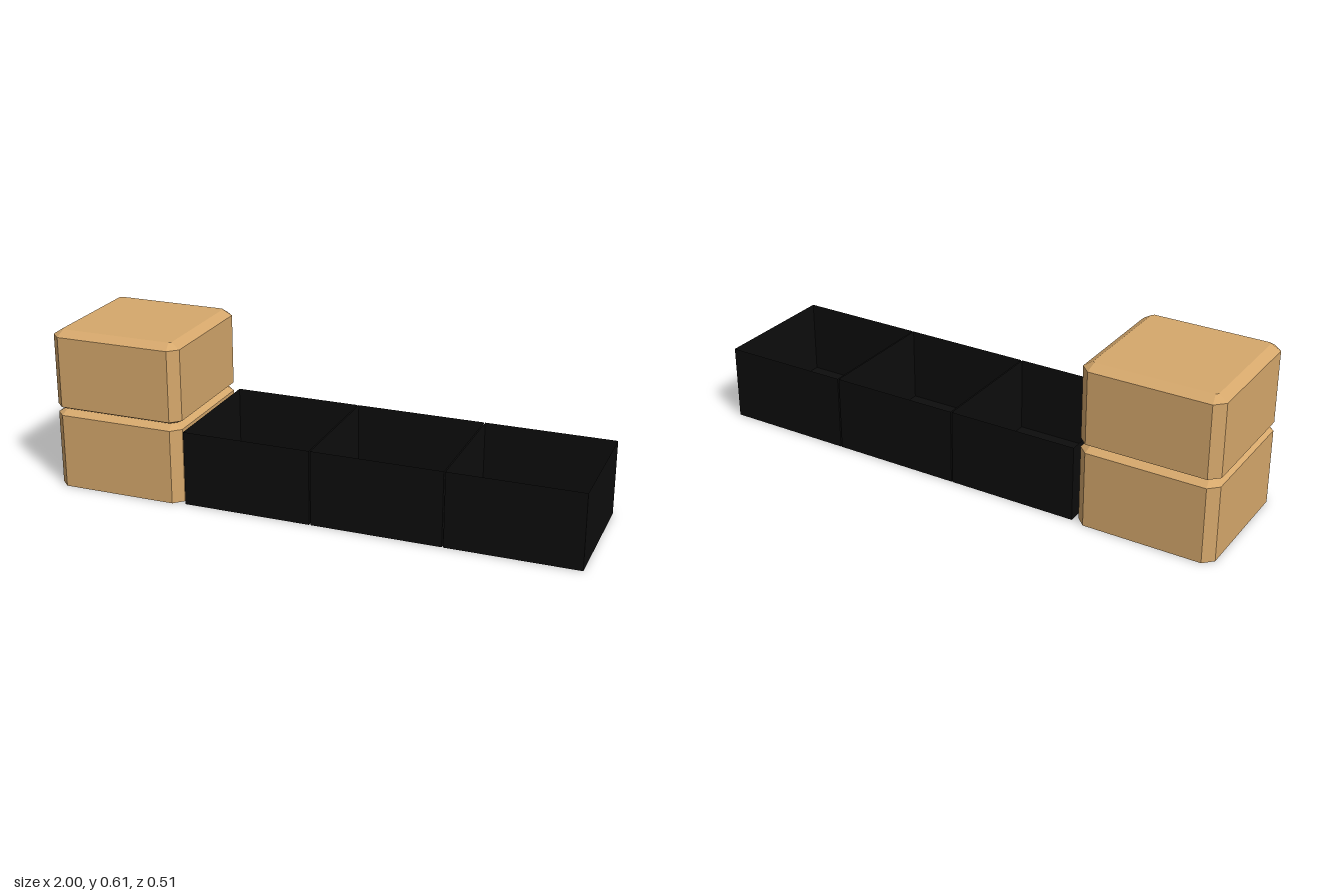
import * as THREE from 'three';
import { ConvexGeometry } from 'three/addons/geometries/ConvexGeometry.js';

const tan = new THREE.MeshStandardMaterial({ color: 0xd6a86c });
tan.name = 'cardboard tan';
const black = new THREE.MeshStandardMaterial({ color: 0x0d0d0d, side: THREE.DoubleSide });
black.name = 'bin black';

// Square ring of half-width r at height y with its corners cut by c
function ring(y, r, c) {
  const points = [];
  for (const sx of [-1, 1]) {
    for (const sz of [-1, 1]) {
      points.push(new THREE.Vector3(sx * r, y, sz * (r - c)), new THREE.Vector3(sx * (r - c), y, sz * r));
    }
  }
  return points;
}

// Chamfered block built from stacked rings
function block(name, rings) {
  const mesh = new THREE.Mesh(new ConvexGeometry(rings.flatMap((r) => ring(...r))), tan);
  mesh.name = name;
  mesh.position.x = -0.745;
  return mesh;
}

// Thin-walled box without its top face
function openBin(width, height, depth) {
  const geometry = new THREE.BoxGeometry(width, height, depth);
  const index = Array.from(geometry.index.array);
  index.splice(12, 6);
  geometry.setIndex(index);
  geometry.clearGroups();
  return new THREE.Mesh(geometry, black);
}

export function createModel() {
  const model = new THREE.Group();

  // Two stacked blocks
  model.add(block('lowerBlock', [[0, 0.256, 0.035], [0.284, 0.256, 0.035], [0.305, 0.222, 0.008]]));
  model.add(block('upperBlock', [
    [0.307, 0.237, 0.022], [0.317, 0.256, 0.035], [0.587, 0.256, 0.035], [0.609, 0.222, 0.008],
  ]));

  // Row of three open bins
  const bins = new THREE.Group();
  bins.name = 'binRow';
  for (let i = 0; i < 3; i++) {
    const bin = openBin(0.488, 0.284, 0.488);
    bin.name = `openBin${i + 1}`;
    bin.position.set(-0.231 + i * 0.4935, 0.142, 0);
    bins.add(bin);
  }
  model.add(bins);
  return model;
}
